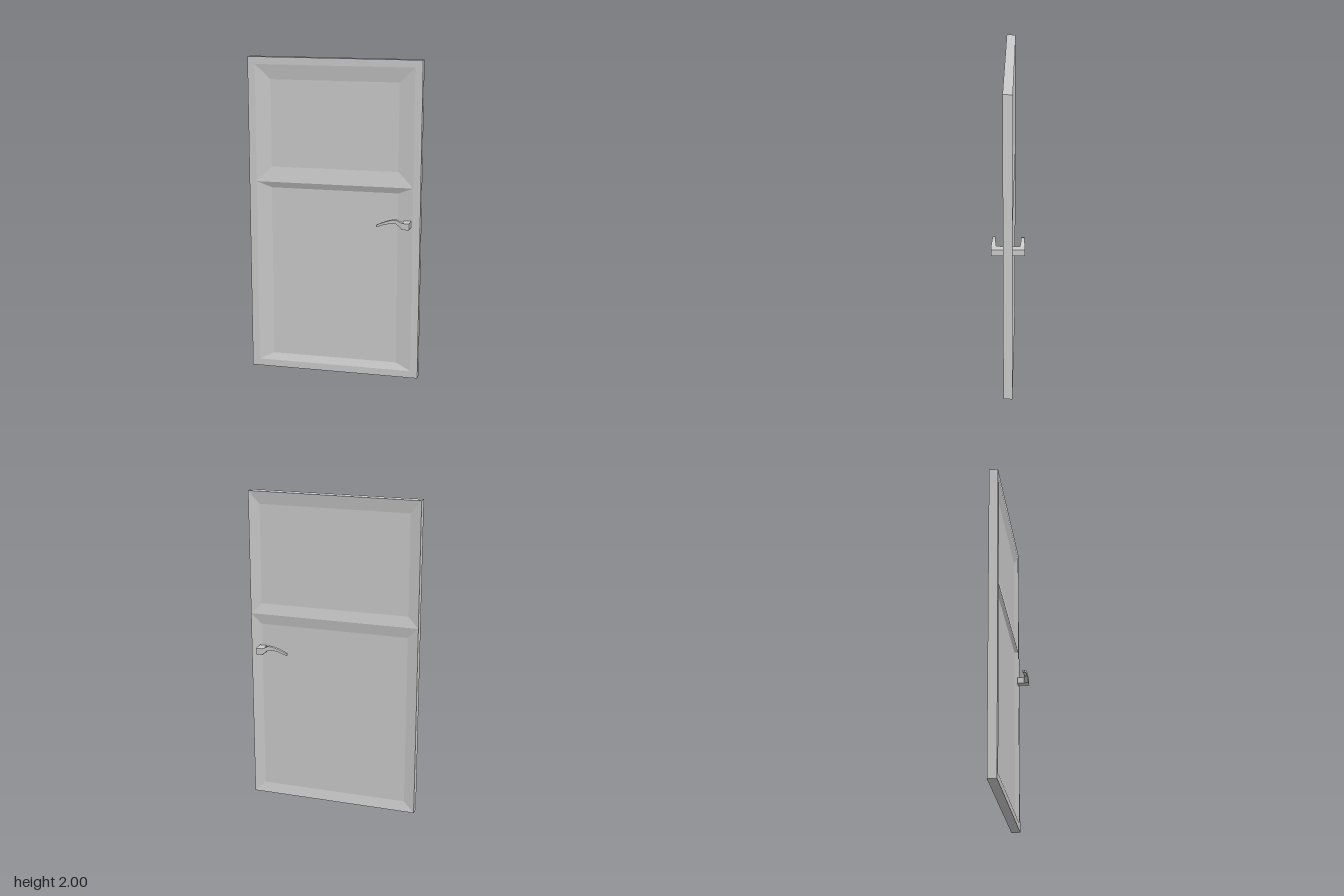
import * as THREE from 'three';

const HALF = 0.028; // half thickness of the door leaf

// Flat-shaded mesh from a list of quads, each with four [x, y, z] corners
function quadMesh(name, quads) {
  const pos = quads.flatMap(([a, b, c, d]) => [a, b, c, a, c, d]).flat();
  const geo = new THREE.BufferGeometry();
  geo.setAttribute('position', new THREE.Float32BufferAttribute(pos, 3));
  geo.computeVertexNormals();
  const mesh = new THREE.Mesh(geo, new THREE.MeshStandardMaterial({ color: 0xcccccc, flatShading: true }));
  mesh.name = name;
  return mesh;
}

// Rectangle in the plane of the door, anticlockwise as seen from +z
const rect = (x, y0, y1, z) => [[-x, y0, z], [x, y0, z], [x, y1, z], [-x, y1, z]];

// Quads joining two loops of four corners
const ring = (a, b) => a.map((p, i) => [p, a[(i + 1) % 4], b[(i + 1) % 4], b[i]]);

// Sunken panel with sloping borders, on the front (side 1) or back (side -1)
function sunkenPanel(name, side, outer, inner, depth) {
  const a = rect(...outer, side * HALF);
  const b = rect(...inner, side * (HALF - depth));
  const quads = side > 0 ? [...ring(a, b), b] : [...ring(b, a), [...b].reverse()];
  return quadMesh(name, quads);
}

// Lever handle: square spindle block and a tapered, curved grip
function handle(name, side) {
  const group = new THREE.Group();
  group.name = name;

  const block = new THREE.Mesh(
    new THREE.BoxGeometry(0.045, 0.04, 0.074),
    new THREE.MeshStandardMaterial({ color: 0xcccccc, flatShading: true })
  );
  block.name = 'handleBlock';
  block.position.set(0.4625, 1.001, side * 0.063);
  group.add(block);

  // Cross-sections: x, bottom, top, inner z, outer z
  const loops = [
    [0.441, 0.983, 1.021, 0.07, 0.1],
    [0.405, 1.014, 1.038, 0.075, 0.096],
    [0.38, 1.016, 1.038, 0.075, 0.095],
    [0.335, 1.008, 1.025, 0.076, 0.095],
    [0.3, 0.994, 1.01, 0.078, 0.093],
    [0.28, 0.989, 1.001, 0.079, 0.092]
  ].map(([x, y0, y1, z0, z1]) =>
    [[x, y0, side * z0], [x, y0, side * z1], [x, y1, side * z1], [x, y1, side * z0]]);

  const quads = [[...loops[0]].reverse(), loops[loops.length - 1]];
  for (let i = 1; i < loops.length; i++) quads.push(...ring(loops[i - 1], loops[i]));
  if (side < 0) quads.forEach((q) => q.reverse());
  group.add(quadMesh('handleGrip', quads));
  return group;
}

export function createModel() {
  const door = new THREE.Group();
  door.name = 'door';

  // Outer edges and the flat front border
  const front = rect(0.541, 0, 2, HALF);
  const back = rect(0.541, 0, 2, -HALF);
  door.add(quadMesh('doorEdges', ring(back, front)));
  door.add(quadMesh('frontBorder', ring(front, rect(0.495, 0.045, 1.955, HALF))));

  // Front panels, meeting at the ridge of the middle rail
  door.add(sunkenPanel('frontLowerPanel', 1, [0.495, 0.045, 1.225], [0.4, 0.09, 1.187], 0.016));
  door.add(sunkenPanel('frontUpperPanel', 1, [0.495, 1.225, 1.955], [0.4, 1.32, 1.863], 0.016));

  // Back panels, sloping from the very edge of the leaf
  door.add(sunkenPanel('backLowerPanel', -1, [0.541, 0, 1.225], [0.473, 0.065, 1.158], 0.013));
  door.add(sunkenPanel('backUpperPanel', -1, [0.541, 1.225, 2], [0.473, 1.292, 1.92], 0.013));

  door.add(handle('frontHandle', 1), handle('backHandle', -1));
  return door;
}
